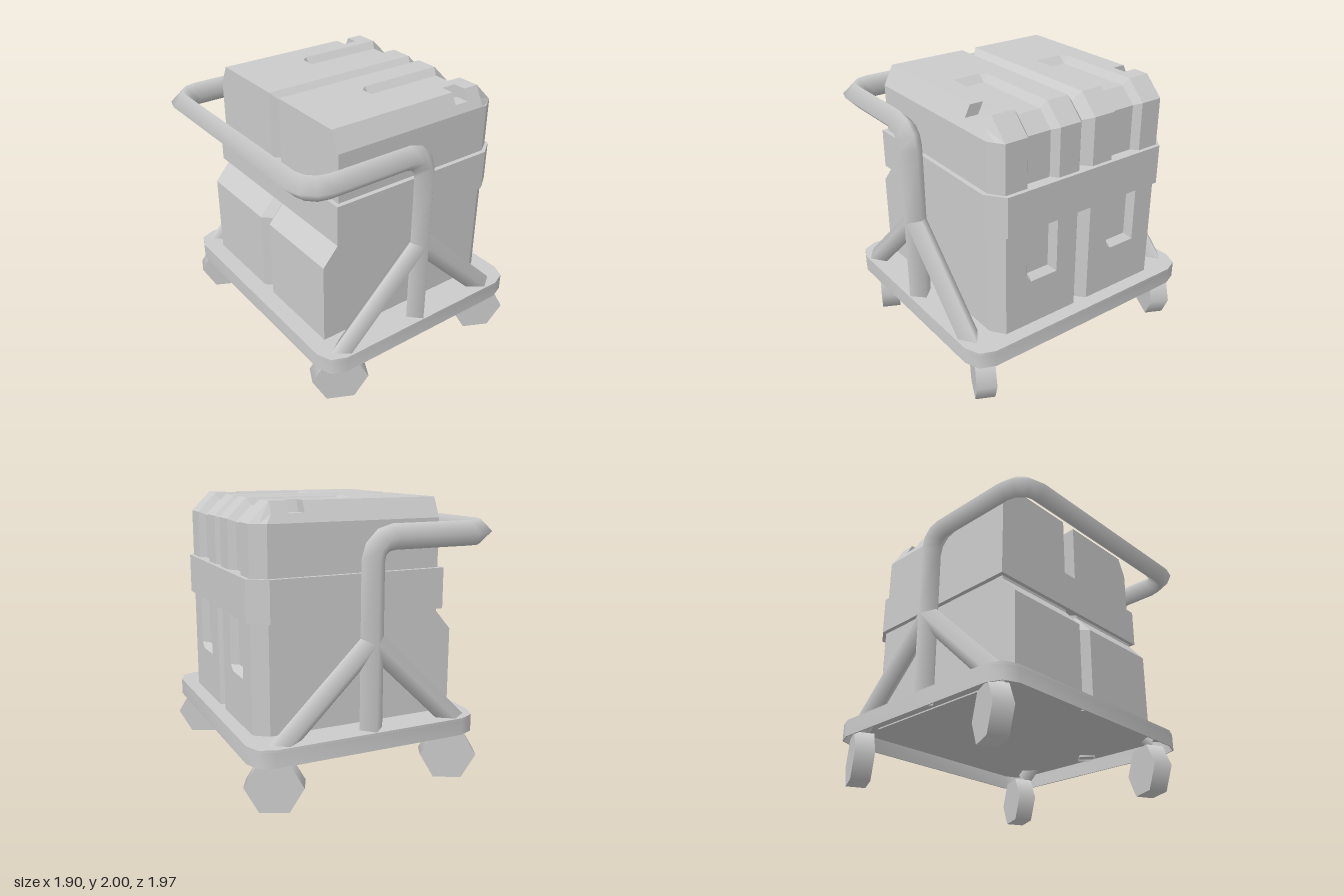
import * as THREE from 'three';
import { toCreasedNormals } from 'three/addons/utils/BufferGeometryUtils.js';

const flat = new THREE.MeshStandardMaterial({ color: 0xcccccc, flatShading: true });
const smooth = new THREE.MeshStandardMaterial({ color: 0xcccccc });
const openSmooth = new THREE.MeshStandardMaterial({ color: 0xcccccc, side: THREE.DoubleSide });
const V = (x, y, z) => new THREE.Vector3(x, y, z);

function add(parent, name, geometry, material = flat) {
  const mesh = new THREE.Mesh(geometry, material);
  mesh.name = name;
  parent.add(mesh);
  return mesh;
}

// Skin over a row of equal-length closed cross-sections
function loft(rings) {
  const n = rings[0].length, index = [];
  for (let i = 0; i < rings.length - 1; i++) {
    for (let j = 0; j < n; j++) {
      const k = (j + 1) % n;
      const a = i * n + j, b = i * n + k, c = b + n, d = a + n;
      index.push(a, b, c, a, c, d);
    }
  }
  const g = new THREE.BufferGeometry().setFromPoints(rings.flat());
  g.setIndex(index);
  g.computeVertexNormals();
  return g;
}

// Four-sided pipe along a polyline, first turned so a corner points along z
function pipe(path, r) {
  const normal = V(0, 0, 1);
  const normals = [];
  let last = null;
  const g = loft(path.map((p, i) => {
    const t = V(0, 0, 0);
    if (i > 0) t.add(p.clone().sub(path[i - 1]).normalize());
    if (i < path.length - 1) t.add(path[i + 1].clone().sub(p).normalize());
    t.normalize();
    if (last) normal.applyQuaternion(new THREE.Quaternion().setFromUnitVectors(last, t));
    last = t;
    const side = t.clone().cross(normal);
    const spokes = [normal.clone(), side, normal.clone().negate(), side.clone().negate()];
    spokes.forEach((s) => normals.push(s.x, s.y, s.z));
    return spokes.map((s) => p.clone().addScaledVector(s, r));
  }));
  // Radial normals keep the shading even along the pipe
  g.setAttribute('normal', new THREE.Float32BufferAttribute(normals, 3));
  return g;
}

const polygon = (points) => new THREE.Shape(points.map(([x, y]) => new THREE.Vector2(x, y)));

// Upright prism from a plan shape
function prism(shape, y0, y1) {
  const g = new THREE.ExtrudeGeometry(shape, { depth: y1 - y0, bevelEnabled: false, curveSegments: 1 });
  return g.rotateX(-Math.PI / 2).translate(0, y0, 0);
}

function roundedPlan(x0, x1, h, r, Type = THREE.Shape) {
  const s = new Type();
  s.absarc(x1 - r, h - r, r, 0, Math.PI / 2);
  s.absarc(x0 + r, h - r, r, Math.PI / 2, Math.PI);
  s.absarc(x0 + r, r - h, r, Math.PI, Math.PI * 1.5);
  s.absarc(x1 - r, r - h, r, Math.PI * 1.5, Math.PI * 2);
  s.closePath();
  return s;
}

// Side outline of the case at distance t from its middle
function caseSection(t, { groove = 0, slot = false, notch = false }, z) {
  const k = Math.max(0, (t - 0.66) / 0.07);     // edge chamfer amount
  const right = 0.82 - 0.1 * k - groove;
  const top = 2 - 0.14 * k - groove;
  const d = slot ? 0.05 : 0;
  const c = slot ? 0.02 : groove * 0.4;         // keeps inset chamfer parallel
  const low = notch ? 1.92 : top - d;
  const l = groove;
  return [
    [-0.67 + l, 0.43], [right, 0.43], [right, 0.8], [right - d, 0.84],
    [right - d, 1.86 - c], [0.68 - c, top - d],
    [0.56, top - d], [0.56, low], [0.45, low], [0.45, top - d],
    [0.04, top - d], [-0.01, top],
    [-0.55 + l, top], [-0.55 + l, 1.2], [-0.67 + l, 1.06],
  ].map(([x, y]) => V(x, y, z));
}

function buildCase(parent) {
  const half = [
    [0.06, {}], [0.23, {}], [0.27, { slot: true }], [0.45, { slot: true }], [0.49, {}],
    [0.5625, {}], [0.5975, { notch: true }], [0.66, { notch: true }], [0.70, { notch: true }], [0.73, {}],
  ];
  const rings = [
    ...half.map(([t, o]) => caseSection(t, o, -t)).reverse(),
    caseSection(0, { groove: 0.065 }, 0),
    ...half.map(([t, o]) => caseSection(t, o, t)),
  ];
  add(parent, 'caseShell', loft(rings));

  // Flat side panels closing the shell, the back one drawn mirrored and turned round
  for (const s of [1, -1]) {
    const outline = polygon([
      [-0.67 * s, 0.43], [0.72 * s, 0.43], [0.72 * s, 1.86],
      [-0.55 * s, 1.86], [-0.55 * s, 1.2], [-0.67 * s, 1.06],
    ]);
    const panel = new THREE.ShapeGeometry(outline).translate(0, 0, 0.73);
    add(parent, s > 0 ? 'caseFrontPanel' : 'caseBackPanel', panel.rotateY(s > 0 ? 0 : Math.PI));
  }

  // Wide band around the case
  const band = polygon([
    [-0.58, -0.763], [0.72, -0.763], [0.85, -0.665], [0.85, 0.665], [0.72, 0.763], [-0.58, 0.763],
  ]);
  add(parent, 'band', prism(band, 1.222, 1.513));
}

function buildTray(parent) {
  // Thin deck with a skirt, open underneath
  const outer = () => roundedPlan(-0.795, 0.922, 0.967, 0.15);
  add(parent, 'trayDeck', toCreasedNormals(prism(outer(), 0.44, 0.455), 1), smooth);
  const skirt = outer();
  skirt.holes.push(roundedPlan(-0.785, 0.912, 0.957, 0.14, THREE.Path));
  add(parent, 'traySkirt', toCreasedNormals(prism(skirt, 0.33, 0.44), 1), smooth);
}

function buildHandle(parent) {
  const z = 0.873, r = 0.15, y = 1.76, x = 0.04, endX = -0.867;
  const half = [V(x, 0.42, z), V(x, 1.08, z)];
  const steps = [0, 1, 2, 3].map((i) => i * Math.PI / 6);
  // Bend from upright to level, then round towards the grip
  for (const a of steps) half.push(V(x - r + r * Math.cos(a), y - r + r * Math.sin(a), z));
  for (const a of steps) half.push(V(endX + r - r * Math.sin(a), y, z - r + r * Math.cos(a)));
  const other = half.map((p) => V(p.x, p.y, -p.z)).reverse();
  add(parent, 'handle', pipe([...half, ...other], 0.088), openSmooth);

  // Slanted braces on both sides
  for (const s of [1, -1]) {
    for (const foot of [0.725, -0.655]) {
      add(parent, 'brace', pipe([V(x, 1.07, s * z), V(foot, 0.4, s * z)], 0.08), openSmooth);
    }
  }
}

function buildWheels(parent) {
  // Six-sided wheels resting on a flat, all swivelled the same way
  for (const x of [-0.6, 0.74]) {
    for (const z of [-0.852, 0.806]) {
      const g = new THREE.CylinderGeometry(0.2, 0.2, 0.14, 6);
      g.rotateY(Math.PI / 2).rotateX(Math.PI / 2);
      const wheel = add(parent, 'wheel', g, smooth);
      wheel.rotation.y = -0.455;
      wheel.position.set(x, 0.1735, z);
    }
  }
}

export function createModel() {
  const model = new THREE.Group();
  model.name = 'caseTrolley';
  const body = new THREE.Group();
  body.name = 'trolley';
  body.position.z = 0.018;
  model.add(body);
  buildCase(body);
  buildTray(body);
  buildHandle(body);
  buildWheels(body);
  return model;
}
